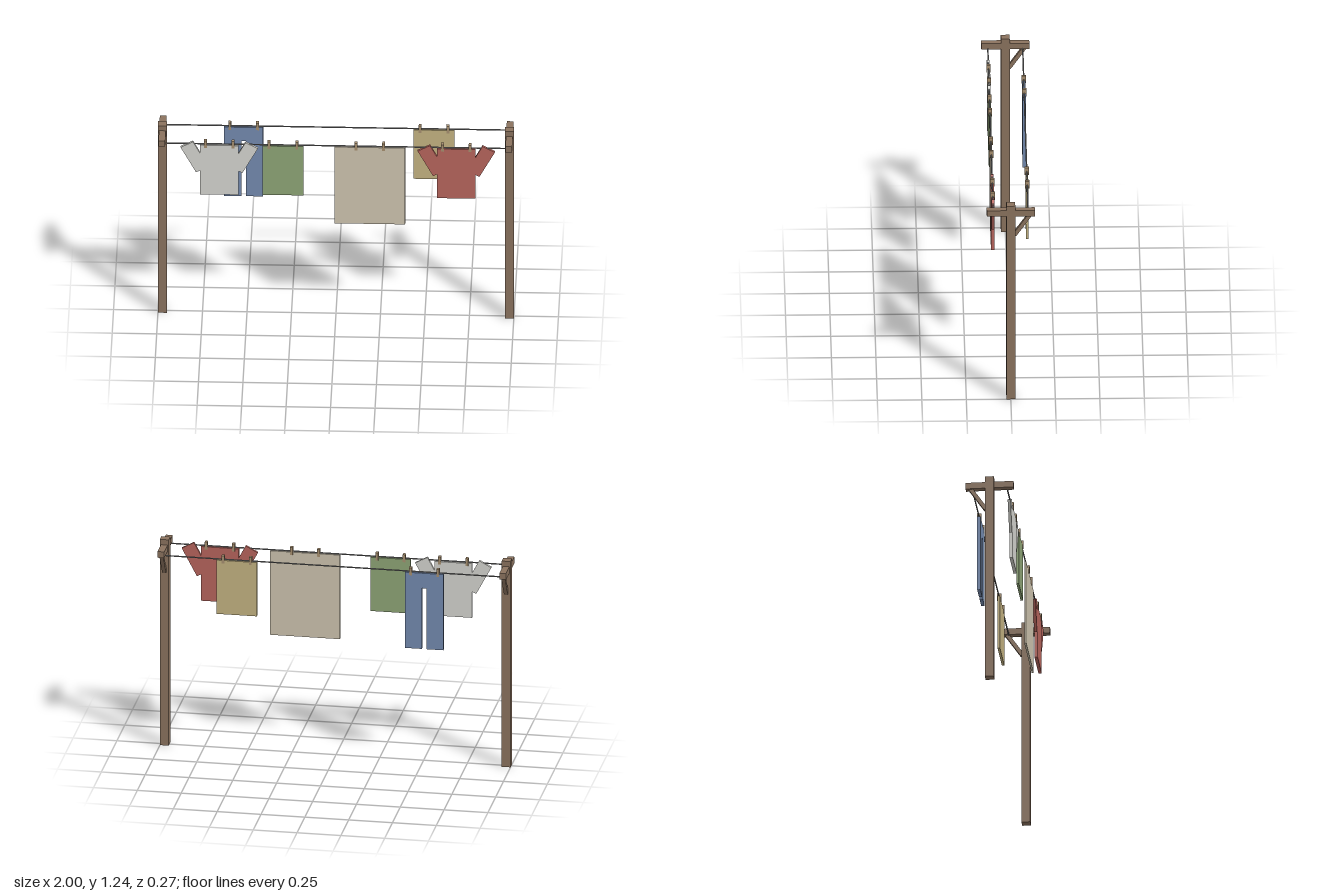
import * as THREE from 'three';

const mat = (color) => new THREE.MeshStandardMaterial({ color, flatShading: true });
const wood = mat(0x8b735f), pegWood = mat(0xa89070), rope = mat(0x808080);

const LINE_Y = 1.17, LINE_Z = 0.098, TOP = 1.165;

function box(parent, name, material, [w, h, d], [x, y, z]) {
  const mesh = new THREE.Mesh(new THREE.BoxGeometry(w, h, d), material);
  mesh.name = name;
  mesh.position.set(x, y, z);
  parent.add(mesh);
  return mesh;
}

function group(parent, name, x = 0, y = 0, z = 0) {
  const g = new THREE.Group();
  g.name = name;
  g.position.set(x, y, z);
  parent.add(g);
  return g;
}

// Post with a crossbar and one diagonal brace on the back
function addPost(parent, name, x) {
  const g = group(parent, name, x);
  box(g, 'post', wood, [0.05, 1.237, 0.05], [0, 0.6185, 0]);
  box(g, 'crossbar', wood, [0.038, 0.037, 0.27], [0, 1.187, 0]);
  const brace = box(g, 'brace', wood, [0.022, 0.155, 0.022], [0, 1.108, -0.065]);
  brace.rotation.x = -0.595;
}

// Garments hang from the origin of their group
function addPegs(g, offset = 0.078) {
  for (const s of [-1, 1]) box(g, 'peg', pegWood, [0.016, 0.045, 0.024], [s * offset, 0.007, 0]);
}

function addCloth(parent, name, color, x, z, w, h, d) {
  const g = group(parent, name, x, TOP, z);
  box(g, 'cloth', mat(color), [w, h, d], [0, -h / 2, 0]);
  addPegs(g);
}

function addShirt(parent, name, color, x, z) {
  const g = group(parent, name, x, TOP, z);
  const m = mat(color);
  box(g, 'shirtBody', m, [0.216, 0.325, 0.018], [0, -0.1625, 0]);
  for (const s of [-1, 1]) {
    const sleeve = box(g, 'sleeve', m, [0.079, 0.185, 0.016], [s * 0.139, -0.08, 0]);
    sleeve.rotation.z = -s * 0.49;
  }
  addPegs(g);
}

function addTrousers(parent, name, color, x, z) {
  const g = group(parent, name, x, TOP, z);
  // Waist and both legs as one outline
  const shape = new THREE.Shape([
    [-0.11, 0], [-0.11, -0.455], [-0.013, -0.455], [-0.013, -0.09],
    [0.013, -0.09], [0.013, -0.455], [0.11, -0.455], [0.11, 0],
  ].map(([a, b]) => new THREE.Vector2(a, b)));
  const geo = new THREE.ExtrudeGeometry(shape, { depth: 0.018, bevelEnabled: false });
  geo.translate(0, 0, -0.009);
  const mesh = new THREE.Mesh(geo, mat(color));
  mesh.name = 'waistAndLegs';
  g.add(mesh);
  addPegs(g);
}

export function createModel() {
  const model = new THREE.Group();
  model.name = 'clothesline';

  addPost(model, 'leftPost', 0.975);
  addPost(model, 'rightPost', -0.975);

  // Two parallel lines
  for (const s of [-1, 1]) {
    const geo = new THREE.CylinderGeometry(0.004, 0.004, 1.93, 8).rotateZ(Math.PI / 2);
    const line = new THREE.Mesh(geo, rope);
    line.name = s > 0 ? 'frontLine' : 'backLine';
    line.position.set(0, LINE_Y, s * LINE_Z);
    model.add(line);
  }

  // Front line
  addShirt(model, 'whiteShirt', 0xd6d6d0, -0.653, LINE_Z);
  addCloth(model, 'greenTowel', 0x8fa677, -0.295, LINE_Z, 0.23, 0.323, 0.014);
  addCloth(model, 'sheet', 0xcfc5b0, 0.193, LINE_Z, 0.398, 0.505, 0.011);
  addShirt(model, 'redShirt', 0xb8655d, 0.679, LINE_Z);

  // Back line
  addTrousers(model, 'blueTrousers', 0x748bb0, -0.522, -LINE_Z);
  addCloth(model, 'yellowTowel', 0xc5b482, 0.548, -LINE_Z, 0.23, 0.323, 0.014);

  return model;
}
